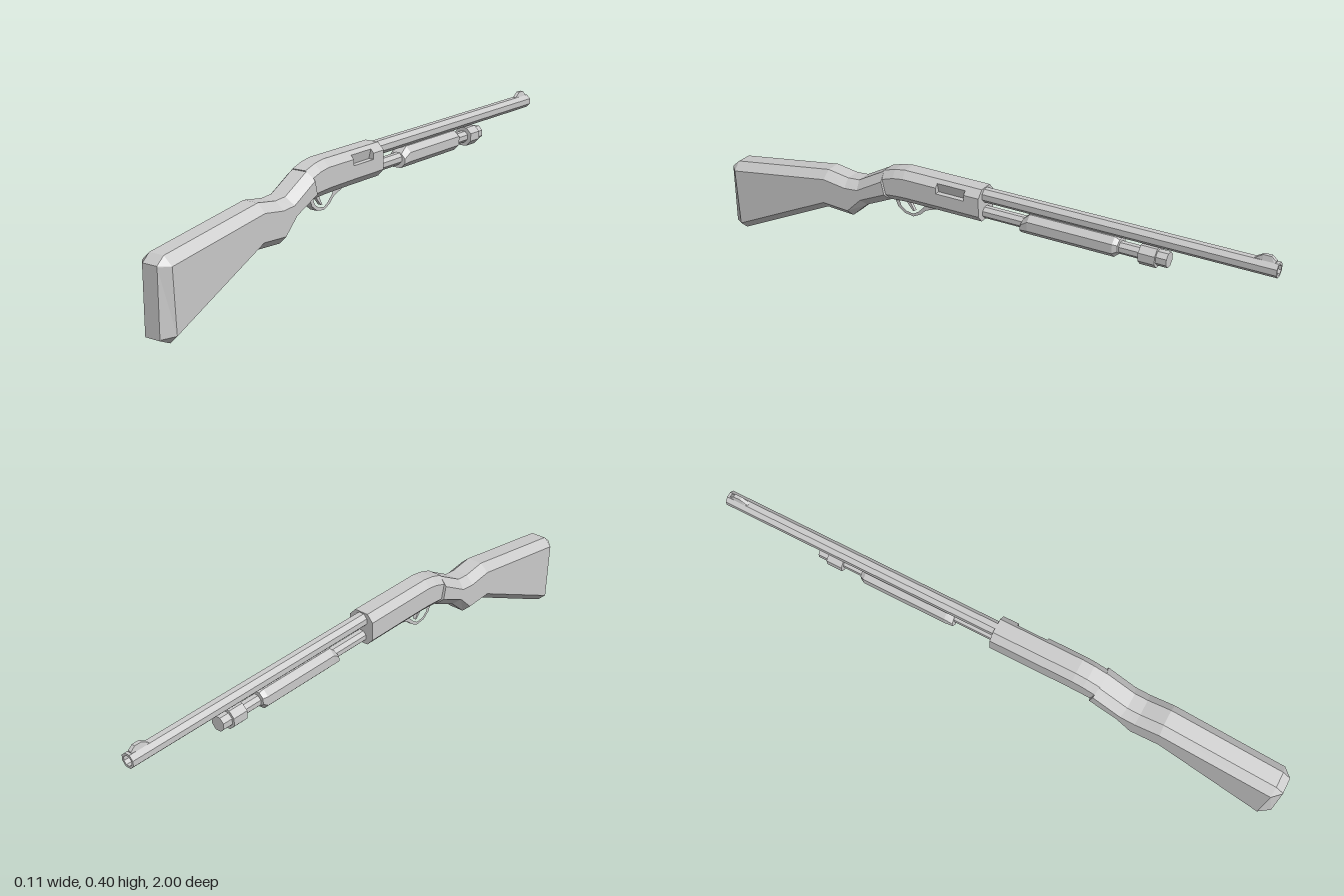
import * as THREE from 'three';

const material = new THREE.MeshStandardMaterial({ color: 0xcccccc, flatShading: true });

function mesh(name, geometry) {
  const m = new THREE.Mesh(geometry, material);
  m.name = name;
  return m;
}

// Skin closed rings (counter-clockwise seen from +z, ordered by rising z) and cap both ends.
function loft(rings) {
  const pos = [];
  const tri = (a, b, c) => pos.push(...a, ...b, ...c);
  const n = rings[0].length;
  for (let i = 0; i < rings.length - 1; i++) {
    const A = rings[i], B = rings[i + 1];
    for (let j = 0; j < n; j++) {
      const k = (j + 1) % n;
      tri(A[j], A[k], B[k]);
      tri(A[j], B[k], B[j]);
    }
  }
  const first = rings[0], last = rings[rings.length - 1];
  for (let j = 1; j < n - 1; j++) {
    tri(first[0], first[j + 1], first[j]);
    tri(last[0], last[j], last[j + 1]);
  }
  const g = new THREE.BufferGeometry();
  g.setAttribute('position', new THREE.Float32BufferAttribute(pos, 3));
  g.computeVertexNormals();
  return g;
}

// Chamfered section between a top point and a bottom point in the side plane.
// w: half width, f: half width of the flat, c: chamfer height
function octagon([tz, ty, bz, by, w, f, c]) {
  const len = Math.hypot(tz - bz, ty - by);
  const at = (x, d) => [x, ty + (by - ty) * d / len, tz + (bz - tz) * d / len];
  return [at(f, len), at(w, len - c), at(w, c), at(f, 0),
    at(-f, 0), at(-w, c), at(-w, len - c), at(-f, len)];
}

// Eight-sided turned part running from z0 toward -z; profile is [radius, distance].
function turned(name, profile, y, z0) {
  const g = new THREE.LatheGeometry(profile.map(p => new THREE.Vector2(...p)), 8, Math.PI / 8);
  g.rotateX(-Math.PI / 2);
  g.translate(0, y, z0);
  return mesh(name, g);
}

// Flat plate from a [z, y] outline, centred on x = 0.
function plate(name, outline, width, hole) {
  const toPoints = a => a.map(p => new THREE.Vector2(...p));
  const shape = new THREE.Shape(toPoints(outline));
  if (hole) shape.holes.push(new THREE.Path(toPoints(hole)));
  const g = new THREE.ExtrudeGeometry(shape, { depth: width, bevelEnabled: false });
  g.translate(0, 0, -width / 2);
  g.rotateY(-Math.PI / 2);
  return mesh(name, g);
}

// Receiver section; the ejection port is cut into the +x shoulder where notch is true.
function receiverRing([tz, ty, bz, by], notch) {
  const ring = octagon([tz, ty, bz, by, 0.047, 0.025, 0.024]);
  const [, side, shoulder, top] = ring;
  const mix = (a, b, t) => a.map((v, i) => v + (b[i] - v) * t);
  const low = mix(side, shoulder, 0.68);
  const high = mix(shoulder, top, 0.5);
  const middle = notch ? [0.028, low[1], tz] : shoulder;
  return [ring[0], side, low, middle, high, ...ring.slice(3)];
}

export function createModel() {
  const group = new THREE.Group();

  // Shoulder stock with dropped wrist and chamfered butt
  group.add(mesh('stock', loft([
    [0.353, 0.362, 0.33, 0.265, 0.056, 0.027, 0.027],
    [0.455, 0.306, 0.425, 0.222, 0.056, 0.027, 0.027],
    [0.50, 0.303, 0.485, 0.168, 0.056, 0.027, 0.027],
    [0.58, 0.315, 0.59, 0.174, 0.056, 0.027, 0.027],
    [0.972, 0.256, 0.96, 0, 0.056, 0.027, 0.027],
    [1.0, 0.232, 1.0, 0.018, 0.028, 0.027, 0.003],
  ].map(octagon))));

  // Receiver with ejection port
  const span = [0.384, 0.272];
  const straight = z => [z, span[0], z, span[1]];
  group.add(mesh('receiver', loft([
    receiverRing(straight(-0.02)),
    receiverRing(straight(0.035)),
    receiverRing(straight(0.035), true),
    receiverRing(straight(0.14), true),
    receiverRing(straight(0.14)),
    receiverRing([0.27, 0.384, 0.26, 0.271]),
    receiverRing([0.31, 0.378, 0.295, 0.269]),
    receiverRing([0.355, 0.364, 0.331, 0.266]),
  ])));

  // Barrel with open bore
  group.add(turned('barrel', [[0.025, 0], [0.025, 0.98], [0.017, 0.98], [0.017, 0.86], [0, 0.86]], 0.357, -0.02));

  // Magazine tube, clamp ring and end cap
  group.add(turned('magazineTube', [[0.021, 0], [0.021, 0.6]], 0.297, -0.02));
  group.add(turned('magazineCap', [[0, 0], [0.035, 0], [0.035, 0.055], [0.026, 0.055], [0.026, 0.09], [0, 0.09]], 0.297, -0.57));

  // Sliding fore-end
  group.add(mesh('foreEnd', loft([
    [-0.50, 0.328, -0.50, 0.28, 0.029, 0.014, 0.014],
    [-0.485, 0.336, -0.485, 0.267, 0.036, 0.017, 0.019],
    [-0.19, 0.336, -0.19, 0.267, 0.036, 0.017, 0.019],
    [-0.165, 0.314, -0.16, 0.267, 0.032, 0.016, 0.015],
  ].map(octagon))));

  // Trigger guard and trigger
  group.add(plate('triggerGuard',
    [[0.325, 0.275], [0.31, 0.24], [0.285, 0.221], [0.25, 0.216], [0.222, 0.23], [0.2, 0.25], [0.165, 0.263], [0.14, 0.275]],
    0.026,
    [[0.305, 0.266], [0.297, 0.244], [0.278, 0.23], [0.25, 0.226], [0.23, 0.238], [0.21, 0.258], [0.205, 0.266]]));
  group.add(plate('trigger', [[0.275, 0.275], [0.262, 0.255], [0.25, 0.233], [0.256, 0.232], [0.272, 0.25], [0.29, 0.275]], 0.012));

  // Front sight, a ramp narrowing to its top
  const ramp = (z, top, bottom, w) => [[w * 2, bottom, z], [w, top, z], [-w, top, z], [-w * 2, bottom, z]];
  group.add(mesh('frontSight', loft([
    ramp(-0.99, 0.384, 0.37, 0.006),
    ramp(-0.975, 0.397, 0.37, 0.006),
    ramp(-0.95, 0.397, 0.37, 0.006),
    ramp(-0.925, 0.381, 0.37, 0.006),
  ])));

  return group;
}
